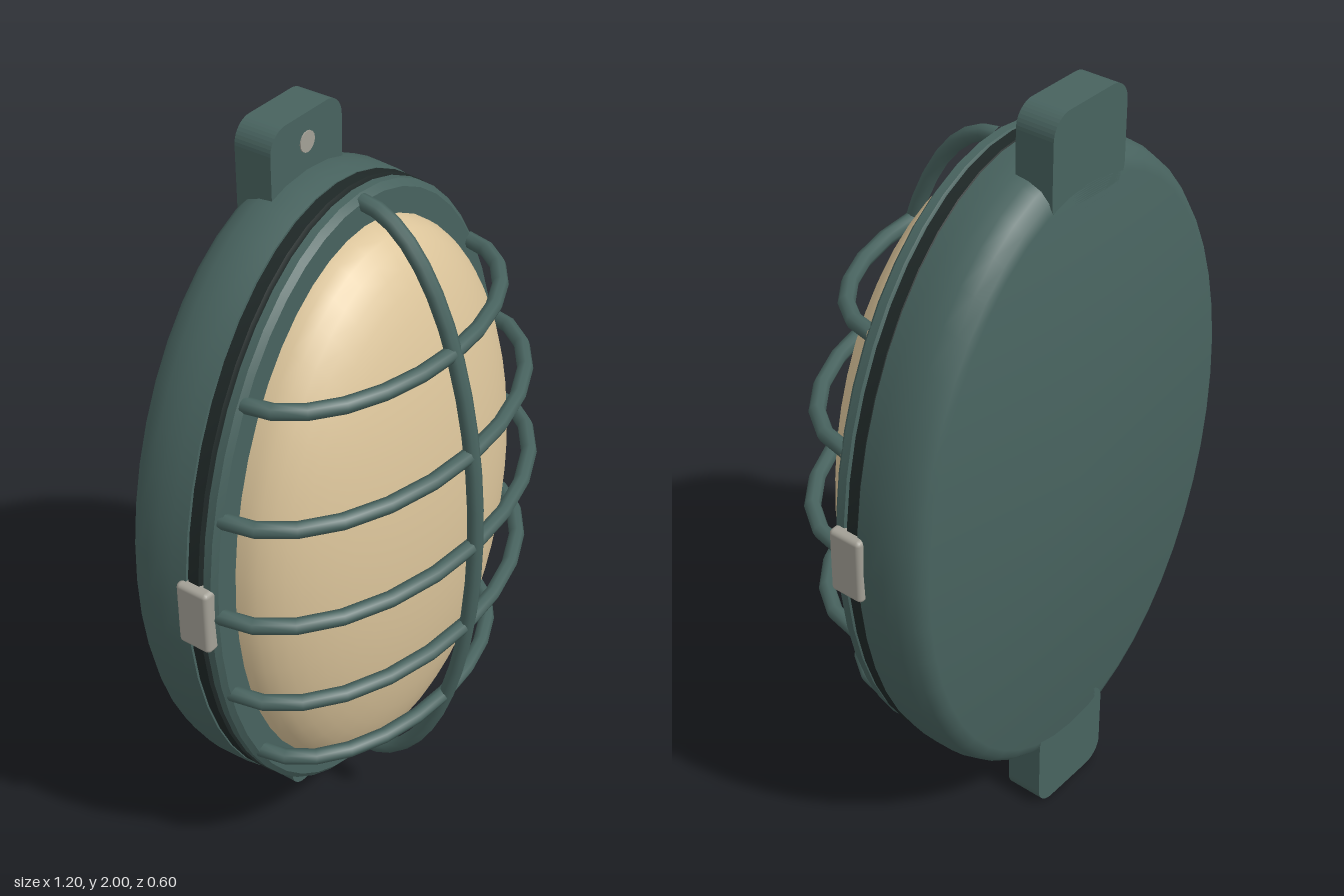
import * as THREE from 'three';
import { toCreasedNormals } from 'three/addons/utils/BufferGeometryUtils.js';
import { RoundedBoxGeometry } from 'three/addons/geometries/RoundedBoxGeometry.js';

const material = (name, color) => Object.assign(new THREE.MeshStandardMaterial({ color }), { name });

export function createModel() {
  const green = material('greenEnamel', 0x48635f);
  const rubber = material('blackRubber', 0x1f2827);
  const glass = material('warmGlass', 0xdcc59b);
  const steel = material('steel', 0xa3a096);

  const lamp = new THREE.Group();
  lamp.name = 'bulkheadLamp';
  const add = (name, geometry, mat, x = 0, y = 0, z = 0) => {
    const mesh = new THREE.Mesh(geometry, mat);
    mesh.name = name;
    mesh.position.set(x, y, z);
    lamp.add(mesh);
    return mesh;
  };

  // Oval turned part: profile of [relative radius, z] from back to front
  const oval = (profile, rx, ry, crease = 0.6) => {
    const g = new THREE.LatheGeometry(profile.map(([r, z]) => new THREE.Vector2(r, z)), 48);
    g.rotateX(Math.PI / 2).scale(rx, ry, 1);
    return toCreasedNormals(g, crease);
  };

  // Housing, gasket and front ring
  add('housing', oval([[0, -0.3], [0.925, -0.3], [0.955, -0.292], [0.98, -0.27], [0.995, -0.235],
    [1, -0.2], [0.998, -0.16], [0.99, -0.122], [0.9, -0.122]], 0.592, 0.86), green, 0, 1);
  add('gasket', oval([[0.9, -0.125], [0.985, -0.125], [1, -0.118], [1, -0.088], [0.985, -0.082], [0.9, -0.082]],
    0.583, 0.852), rubber, 0, 1);
  add('frontRing', oval([[0.9, -0.083], [0.985, -0.083], [1, -0.076], [1, -0.055], [0.98, -0.042], [0, -0.042]],
    0.58, 0.848), green, 0, 1);

  // Domed lens
  const dome = [];
  for (let i = 0; i <= 14; i++) {
    const a = (i / 14) * Math.PI / 2;
    dome.push([i === 14 ? 0 : Math.cos(a), -0.045 + 0.25 * Math.sin(a)]);
  }
  add('lens', oval(dome, 0.507, 0.768, 1), glass, 0, 1);

  // Guard cage: half-oval bars following one common dome
  const arcBar = (halfSpan, depth, vertical, steps) => {
    const curve = new THREE.Curve();
    curve.getPoint = (t, target = new THREE.Vector3()) => {
      const a = Math.PI * t;
      const s = -halfSpan * Math.cos(a);
      return target.set(vertical ? 0 : s, vertical ? s : 0, -0.05 + depth * Math.sin(a));
    };
    curve.getUtoTmapping = (u) => u;
    return new THREE.TubeGeometry(curve, steps, 0.02, 8);
  };
  add('guardUpright', arcBar(0.828, 0.33, true, 24), green, 0, 1);
  for (let i = -2; i <= 2; i++) {
    const dy = i * 0.26;
    const k = Math.sqrt(1 - (dy / 0.828) ** 2);
    add('guardCrossbar', arcBar(0.557 * k, 0.325 * k, false, 12), green, 0, 1.005 + dy);
  }

  // Mounting lugs with screws, top and bottom
  const w = 0.13, h = 0.13, r = 0.055;
  const tab = new THREE.Shape();
  tab.moveTo(-w + r, -h);
  tab.absarc(w - r, -h + r, r, -Math.PI / 2, 0);
  tab.absarc(w - r, h - r, r, 0, Math.PI / 2);
  tab.absarc(-w + r, h - r, r, Math.PI / 2, Math.PI);
  tab.absarc(-w + r, -h + r, r, Math.PI, Math.PI * 1.5);
  const lug = new THREE.ExtrudeGeometry(tab, { depth: 0.1, bevelEnabled: false, curveSegments: 5 });
  const screw = new THREE.CylinderGeometry(0.026, 0.026, 0.02, 16).rotateX(Math.PI / 2);
  for (const s of [-1, 1]) {
    add('mountingLug', lug, green, 0, 1 + s * 0.87, -0.3);
    add('mountingScrew', screw, steel, 0, 1 + s * 0.93, -0.207);
  }

  // Side clips
  const clip = new RoundedBoxGeometry(0.045, 0.175, 0.092, 2, 0.012);
  for (const s of [-1, 1]) add('sideClip', clip, steel, s * 0.579, 1.003, -0.095);

  // Small fastener on the ring
  add('fastenerCollar', new THREE.CylinderGeometry(0.033, 0.033, 0.04, 16).rotateX(Math.PI / 2),
    rubber, 0.297, 0.333, -0.032);
  add('fastenerHead', new THREE.CylinderGeometry(0.021, 0.021, 0.04, 16).rotateX(Math.PI / 2),
    glass, 0.297, 0.333, -0.028);

  return lamp;
}
